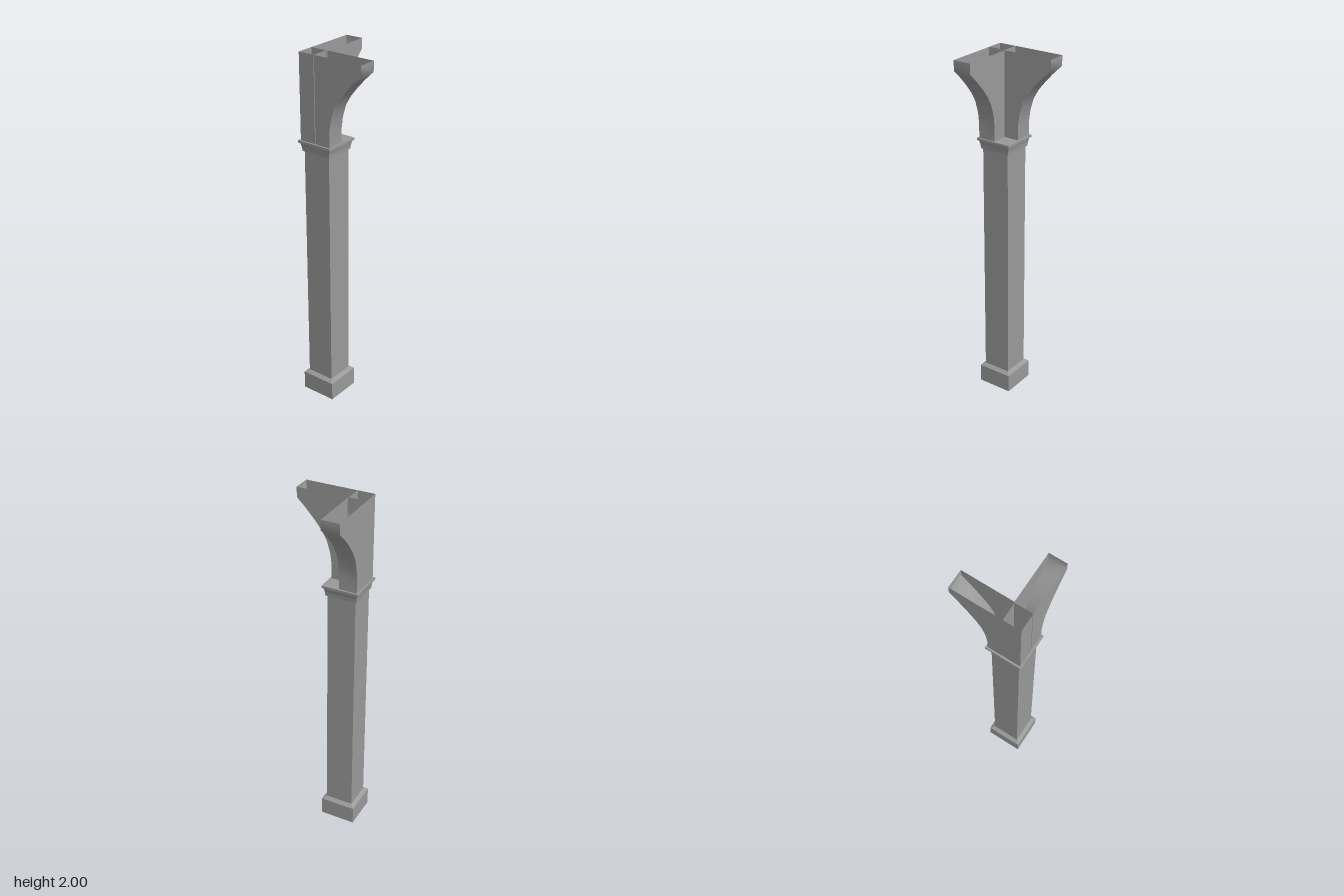
import * as THREE from 'three';

const CX = -0.0945, CZ = 0.0935; // column axis
const FLOOR = 1.535; // top of the capital
const OUT = 0.187, IN = 0.0865, START = 0.09, TIP = 0.197;
const MID = (OUT + IN) / 2, HALF = (OUT - IN) / 2;
const SLIT = 0.0035; // joint between the corner and the left bracket

const mat = new THREE.MeshStandardMaterial({ color: 0x999999, side: THREE.DoubleSide });

function mesh(name, geometry) {
  const m = new THREE.Mesh(geometry, mat);
  m.name = name;
  return m;
}

// Square section swept up a profile of [half width, height]
function squareLoft(name, profile) {
  const pts = profile.map(([h, y]) => new THREE.Vector2(h * Math.SQRT2, y));
  const geo = new THREE.LatheGeometry(pts, 4, Math.PI / 4).toNonIndexed();
  geo.computeVertexNormals();
  const m = mesh(name, geo);
  m.position.set(CX, 0, CZ);
  return m;
}

// Upright rectangle standing on the capital, turned about y
function wall(name, width, x, z, angle) {
  const m = mesh(name, new THREE.PlaneGeometry(width, 2 - FLOOR));
  m.position.set(x, (2 + FLOOR) / 2, z);
  m.rotation.y = angle;
  return m;
}

// Hollow, open-topped bracket running along +x
function bracket(name) {
  const g = new THREE.Group();
  g.name = name;
  const pts = [
    [0, FLOOR], [0, 1.615], [0.008, 1.675], [0.028, 1.742], [0.059, 1.795],
    [0.1, 1.846], [0.145, 1.895], [TIP, 1.945], [TIP, 2],
  ].map(([x, y]) => new THREE.Vector2(x, y));

  const shape = new THREE.Shape([
    new THREE.Vector2(-START, FLOOR), ...pts, new THREE.Vector2(-START, 2),
  ]);
  for (const z of [-HALF, HALF]) {
    const side = mesh('bracketSide', new THREE.ShapeGeometry(shape));
    side.position.z = z;
    g.add(side);
  }

  // Underside and tip: one smooth strip that follows the curve
  const strip = new THREE.PlaneGeometry(1, 1, 1, pts.length - 1);
  const pos = strip.attributes.position;
  for (let i = 0; i < pos.count; i++) {
    const p = pts[i >> 1];
    pos.setXYZ(i, p.x, p.y, i % 2 ? -HALF : HALF);
  }
  strip.index.array.reverse();
  strip.computeVertexNormals();
  g.add(mesh('bracketUnderside', strip));

  g.add(wall('bracketDivider', HALF * 2, -START, 0, -Math.PI / 2));
  return g;
}

export function createModel() {
  const model = new THREE.Group();
  model.name = 'cornerPost';

  // Base is hollow underneath, with a rim and a ceiling
  model.add(squareLoft('base', [
    [0, 0.085], [0.08, 0.085], [0.08, 0], [0.1015, 0], [0.1015, 0.105], [0.08, 0.12],
  ]));
  model.add(squareLoft('shaft', [[0.08, 0.11], [0.08, 1.48]]));
  model.add(squareLoft('capital', [
    [0.08, 1.475], [0.088, 1.475], [0.09, 1.497], [0.095, 1.518],
    [0.103, 1.523], [0.103, FLOOR], [0, FLOOR],
  ]));

  // Two brackets at right angles
  const leftBracket = bracket('leftBracket');
  leftBracket.position.z = MID;
  const backBracket = bracket('backBracket');
  backBracket.rotation.y = Math.PI / 2;
  backBracket.position.x = -MID;
  model.add(leftBracket, backBracket);

  // Outer corner between the brackets
  const inner = START + SLIT;
  model.add(
    wall('cornerFront', OUT - inner, -(OUT + inner) / 2, OUT, 0),
    wall('cornerSide', OUT - START, -OUT, (OUT + START) / 2, -Math.PI / 2),
    wall('cornerInner', OUT - START, -inner, (OUT + START) / 2, Math.PI / 2),
  );

  return model;
}
